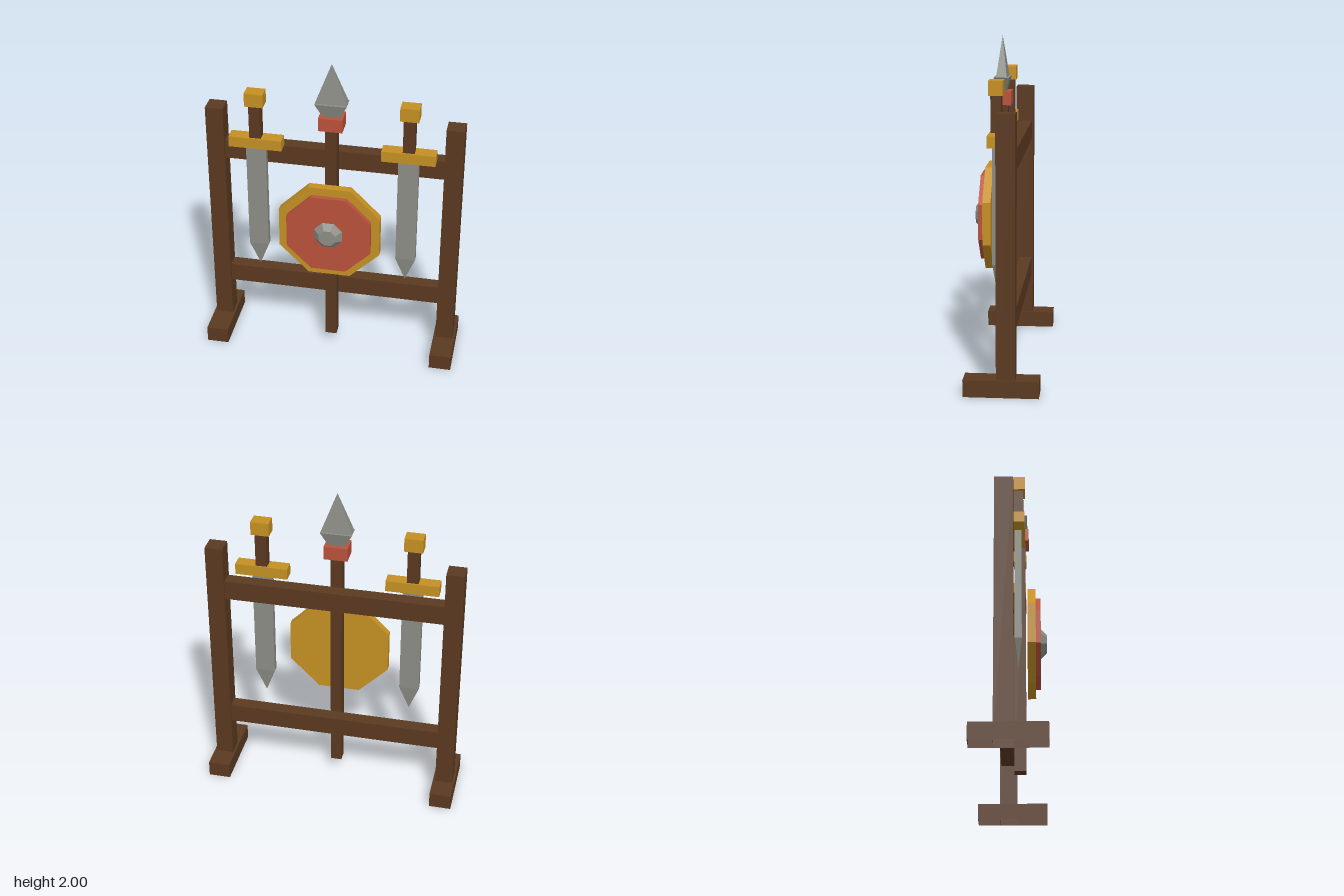
import * as THREE from 'three';

const mat = (name, color, extra = {}) => {
  const m = new THREE.MeshStandardMaterial({ color, ...extra });
  m.name = name;
  return m;
};

export function createModel() {
  const wood = mat('brown wood', 0x5a3921, { side: THREE.DoubleSide });
  const gold = mat('gold', 0xc59023);
  const red = mat('red', 0xba523c);
  const steel = mat('steel', 0x8c8d85);

  const add = (parent, name, geo, material, x, y, z) => {
    const mesh = new THREE.Mesh(geo, material);
    mesh.name = name;
    mesh.position.set(x, y, z);
    parent.add(mesh);
    return mesh;
  };
  const group = (parent, name) => {
    const g = new THREE.Group();
    g.name = name;
    parent.add(g);
    return g;
  };

  // Box spanning y0 to y1, optionally without its underside
  const block = (parent, name, material, w, d, y0, y1, x, z, open = false) => {
    const geo = new THREE.BoxGeometry(w, y1 - y0, d);
    if (open) geo.setIndex([...geo.index.array].filter((_, i) => i < 18 || i >= 24));
    return add(parent, name, geo, material, x, (y0 + y1) / 2, z);
  };

  // Box whose lower and upper ends have their own width and depth
  const taper = (parent, name, material, [w0, d0], [w1, d1], y0, y1, x, z) => {
    const geo = new THREE.BoxGeometry(1, y1 - y0, 1).toNonIndexed();
    const p = geo.attributes.position;
    for (let i = 0; i < p.count; i++) {
      const up = p.getY(i) > 0;
      p.setX(i, p.getX(i) * (up ? w1 : w0));
      p.setZ(i, p.getZ(i) * (up ? d1 : d0));
    }
    geo.computeVertexNormals();
    return add(parent, name, geo, material, x, (y0 + y1) / 2, z);
  };

  // Eight-sided disc facing forward, sized from its centre to its flats
  const octagon = (parent, name, material, rBack, rFront, z0, z1) => {
    const k = 1 / Math.cos(Math.PI / 8);
    const geo = new THREE.CylinderGeometry(rFront * k, rBack * k, z1 - z0, 8).toNonIndexed();
    geo.rotateY(Math.PI / 8).rotateX(Math.PI / 2);
    geo.computeVertexNormals();
    return add(parent, name, geo, material, 0, 0.905, (z0 + z1) / 2);
  };

  const model = new THREE.Group();
  model.name = 'weaponRack';

  // Rack frame
  const rack = group(model, 'rack');
  for (const [side, s] of [['left', 1], ['right', -1]]) {
    block(rack, side + 'Foot', wood, 0.136, 0.436, 0, 0.1, s * 0.722, 0, true);
    block(rack, side + 'Post', wood, 0.108, 0.11, 0, 1.62, s * 0.722, -0.027, true);
  }
  block(rack, 'lowerRail', wood, 1.34, 0.082, 0.355, 0.475, 0, -0.032);
  block(rack, 'upperRail', wood, 1.34, 0.082, 1.275, 1.397, 0, -0.032);

  // Hanging swords
  for (const [side, s] of [['left', 1], ['right', -1]]) {
    const sword = group(model, side + 'Sword');
    const x = s * 0.46, z = 0.052;
    block(sword, 'blade', steel, 0.122, 0.04, 0.71, 1.408, x, z);
    taper(sword, 'bladeTip', steel, [0, 0], [0.122, 0.04], 0.55, 0.71, x, z);
    block(sword, 'guard', gold, 0.322, 0.08, 1.408, 1.476, x, z);
    block(sword, 'grip', wood, 0.07, 0.062, 1.476, 1.69, x, z);
    block(sword, 'pommel', gold, 0.112, 0.084, 1.69, 1.775, x, z);
  }

  // Spear
  const spear = group(model, 'spear');
  block(spear, 'shaft', wood, 0.07, 0.07, 0.08, 1.6, 0, 0.057);
  block(spear, 'collar', red, 0.144, 0.112, 1.585, 1.668, 0, 0.057);
  taper(spear, 'headBase', steel, [0.1, 0.05], [0.19, 0.094], 1.665, 1.752, 0, 0.057);
  taper(spear, 'headPoint', steel, [0.19, 0.064], [0, 0], 1.752, 2, 0, 0.057);

  // Octagonal shield
  const shield = group(model, 'shield');
  octagon(shield, 'shieldRim', gold, 0.31, 0.31, 0.103, 0.152);
  octagon(shield, 'shieldFace', red, 0.258, 0.258, 0.15, 0.182);
  octagon(shield, 'shieldBoss', steel, 0.087, 0.051, 0.18, 0.22);

  return model;
}
